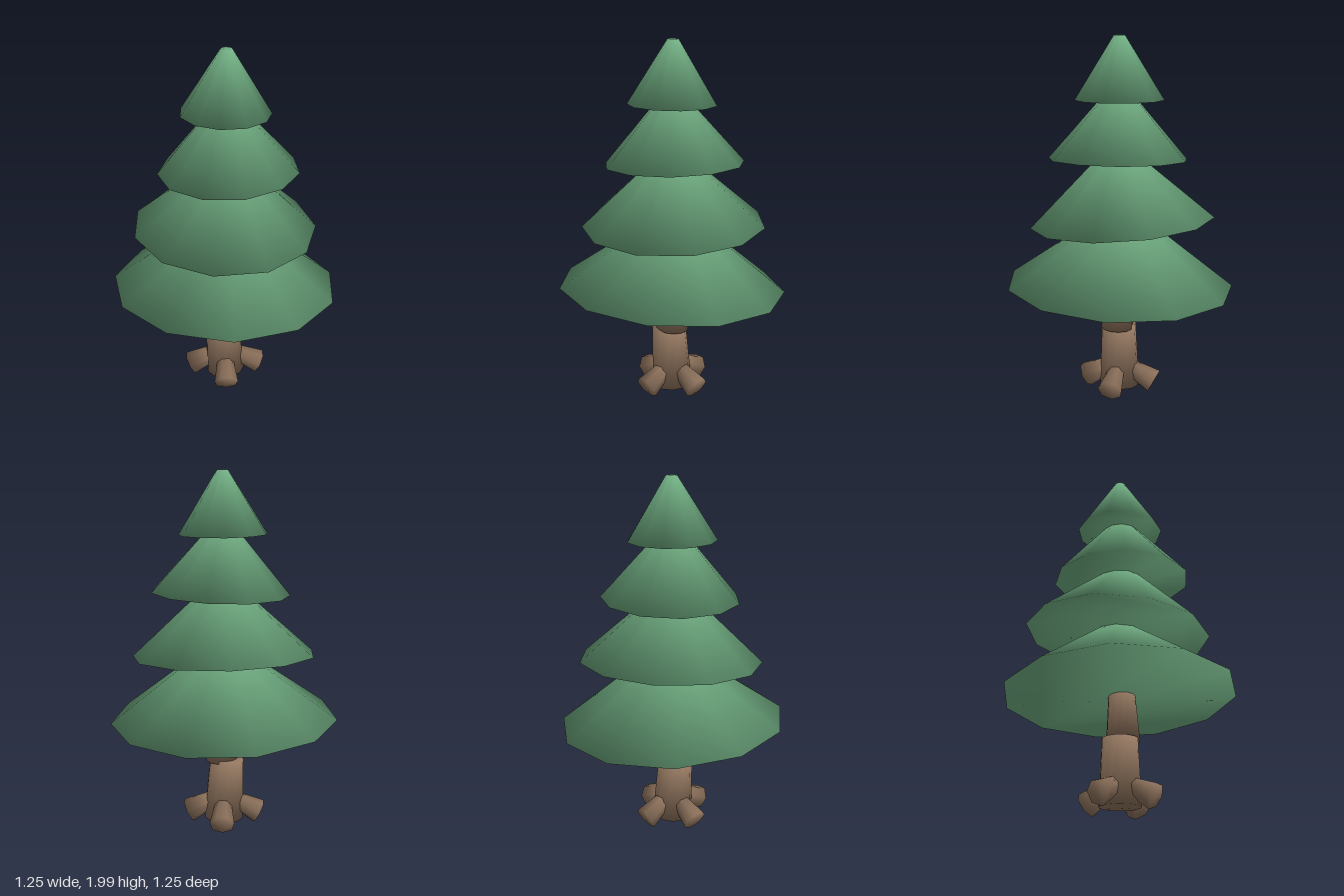
import * as THREE from 'three';

const UP = new THREE.Vector3(0, 1, 0);

// Closed tapered prism standing on its base, softly shaded: rim normals blend side and cap
function frustum(rBottom, rTop, height, sides, startAngle = 0) {
  const positions = [], normals = [], index = [];
  const side = new THREE.Vector2(height, rBottom - rTop).normalize();
  [[rBottom, 0, -1], [rTop, height, 1]].forEach(([r, y, cap]) => {
    for (let i = 0; i < sides; i++) {
      const t = startAngle + (i / sides) * Math.PI * 2;
      const s = Math.sin(t), c = Math.cos(t);
      const n = new THREE.Vector3(s * side.x, side.y + cap, c * side.x).normalize();
      positions.push(r * s, y, r * c);
      normals.push(n.x, n.y, n.z);
    }
  });
  for (let i = 0; i < sides; i++) {
    const j = (i + 1) % sides;
    index.push(i, j, sides + j, i, sides + j, sides + i);
  }
  for (let i = 1; i < sides - 1; i++) {
    index.push(0, i + 1, i, sides, sides + i, sides + i + 1);
  }
  const geometry = new THREE.BufferGeometry();
  geometry.setAttribute('position', new THREE.Float32BufferAttribute(positions, 3));
  geometry.setAttribute('normal', new THREE.Float32BufferAttribute(normals, 3));
  geometry.setIndex(index);
  return geometry;
}

// Tapered log running from one point to another
function log(name, from, to, rFrom, rTo, sides, material) {
  const a = new THREE.Vector3(...from);
  const axis = new THREE.Vector3(...to).sub(a);
  const mesh = new THREE.Mesh(frustum(rFrom, rTo, axis.length(), sides), material);
  mesh.name = name;
  mesh.position.copy(a);
  mesh.quaternion.setFromUnitVectors(UP, axis.normalize());
  return mesh;
}

export function createModel() {
  const needles = new THREE.MeshStandardMaterial({ color: 0x70ad82, side: THREE.DoubleSide });
  needles.name = 'needle green';
  const bark = new THREE.MeshStandardMaterial({ color: 0x937760, side: THREE.DoubleSide });
  bark.name = 'bark brown';

  const tree = new THREE.Group();
  tree.name = 'pineTree';

  // Trunk in two leaning sections
  tree.add(log('lowerTrunk', [0.003, 0.04, 0], [-0.014, 0.395, 0.012], 0.112, 0.096, 12, bark));
  tree.add(log('upperTrunk', [0.016, 0.385, 0.01], [0.023, 0.67, -0.005], 0.09, 0.072, 12, bark));

  // Four stubby roots that flare outwards and down
  for (let i = 0; i < 4; i++) {
    const root = new THREE.Group();
    root.name = 'root' + (i + 1);
    root.rotation.y = 0.16 + (i * Math.PI) / 2;
    root.add(log('rootStub', [0, 0.145, 0.06], [0, 0.072, 0.2], 0.046, 0.07, 7, bark));
    tree.add(root);
  }

  // Slightly tilted skirts of foliage, from the bottom up
  const tiers = [
    { r: 0.633, top: 0.08, h: 0.41, at: [0, 0.64, 0], tilt: [-0.048, -0.016], start: Math.PI - 0.095 },
    { r: 0.508, top: 0.065, h: 0.4, at: [-0.003, 1.0, -0.013], tilt: [0.055, -0.035], start: 0 },
    { r: 0.382, top: 0.05, h: 0.38, at: [0.02, 1.343, 0], tilt: [0.005, 0.035], start: Math.PI + 0.05 },
    { r: 0.243, top: 0.03, h: 0.34, at: [0.003, 1.66, 0], tilt: [-0.005, -0.013], start: 0 },
  ];
  tiers.forEach(({ r, top, h, at, tilt, start }, i) => {
    const tier = new THREE.Mesh(frustum(r, top, h, 11, start), needles);
    tier.name = 'foliageTier' + (i + 1);
    tier.position.set(...at);
    tier.rotation.set(tilt[0], 0, tilt[1]);
    tree.add(tier);
  });

  return tree;
}
